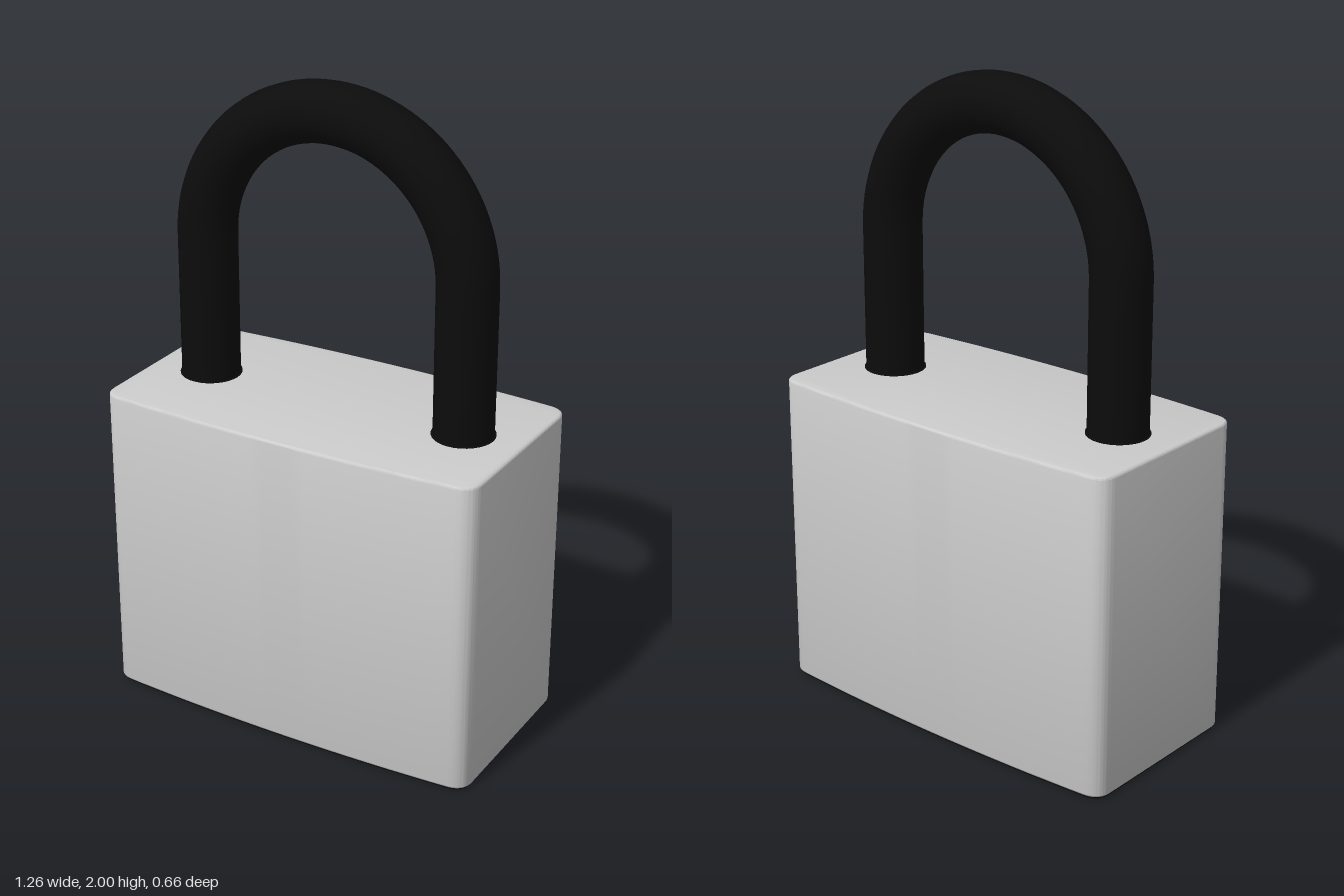
import * as THREE from 'three';
import { toCreasedNormals } from 'three/addons/utils/BufferGeometryUtils.js';

const HEIGHT = 1.01, BEVEL = 0.008, BASE = 0.006;
const LEG_X = 0.44, TUBE = 0.091;

// Rounded block outline with gently bowed front and back
function outline(inset) {
  const w = 0.63 - inset, z = 0.31 - inset, bow = 0.351 - inset;
  const s = new THREE.Shape();
  s.moveTo(w, -z + 0.05);
  s.lineTo(w, z - 0.05);
  s.quadraticCurveTo(w, z - 0.004, w - 0.05, z);
  s.quadraticCurveTo(0, bow, -w + 0.05, z);
  s.quadraticCurveTo(-w, z - 0.004, -w, z - 0.05);
  s.lineTo(-w, -z + 0.05);
  s.quadraticCurveTo(-w, -z + 0.004, -w + 0.05, -z);
  s.quadraticCurveTo(0, -bow, w - 0.05, -z);
  s.quadraticCurveTo(w, -z + 0.004, w, -z + 0.05);
  return s;
}

function part(group, name, geometry, material) {
  const mesh = new THREE.Mesh(geometry, material);
  mesh.name = name;
  group.add(mesh);
  return mesh;
}

export function createModel() {
  const group = new THREE.Group();
  group.name = 'padlock';
  const grey = new THREE.MeshStandardMaterial({ color: 0xcccccc });
  const black = new THREE.MeshStandardMaterial({ color: 0x0c0c0c });

  // Body block with fine rounded rims
  const block = new THREE.ExtrudeGeometry(outline(BEVEL), {
    depth: HEIGHT - BASE - 2 * BEVEL, bevelEnabled: true,
    bevelThickness: BEVEL, bevelSize: BEVEL, bevelSegments: 3, curveSegments: 24,
  });
  block.rotateX(-Math.PI / 2).translate(0, BASE + BEVEL, 0);
  part(group, 'body', toCreasedNormals(block, 0.6), grey);

  // Dark plate under the body
  const plate = new THREE.ExtrudeGeometry(outline(BEVEL), {
    depth: BASE, bevelEnabled: false, curveSegments: 24,
  });
  plate.rotateX(-Math.PI / 2);
  part(group, 'bottomPlate', toCreasedNormals(plate, 0.6), black);

  // Shackle: two straight legs joined by a half circle
  const arcY = 2 - TUBE - LEG_X, footY = HEIGHT - 0.01;
  const path = new THREE.CurvePath();
  const arc = new THREE.CatmullRomCurve3(Array.from({ length: 33 }, (_, i) => {
    const a = Math.PI * (1 - i / 32);
    return new THREE.Vector3(LEG_X * Math.cos(a), arcY + LEG_X * Math.sin(a), 0);
  }));
  path.add(new THREE.LineCurve3(new THREE.Vector3(-LEG_X, footY, 0), new THREE.Vector3(-LEG_X, arcY, 0)));
  path.add(arc);
  path.add(new THREE.LineCurve3(new THREE.Vector3(LEG_X, arcY, 0), new THREE.Vector3(LEG_X, footY, 0)));
  part(group, 'shackle', new THREE.TubeGeometry(path, 96, TUBE, 32), black);

  // Dark socket rims where the legs enter the body
  for (const side of [-1, 1]) {
    const rim = part(group, side < 0 ? 'rightSocket' : 'leftSocket',
      new THREE.CylinderGeometry(TUBE + 0.005, TUBE + 0.005, 0.006, 32), black);
    rim.position.set(side * LEG_X, HEIGHT, 0);
  }
  return group;
}
